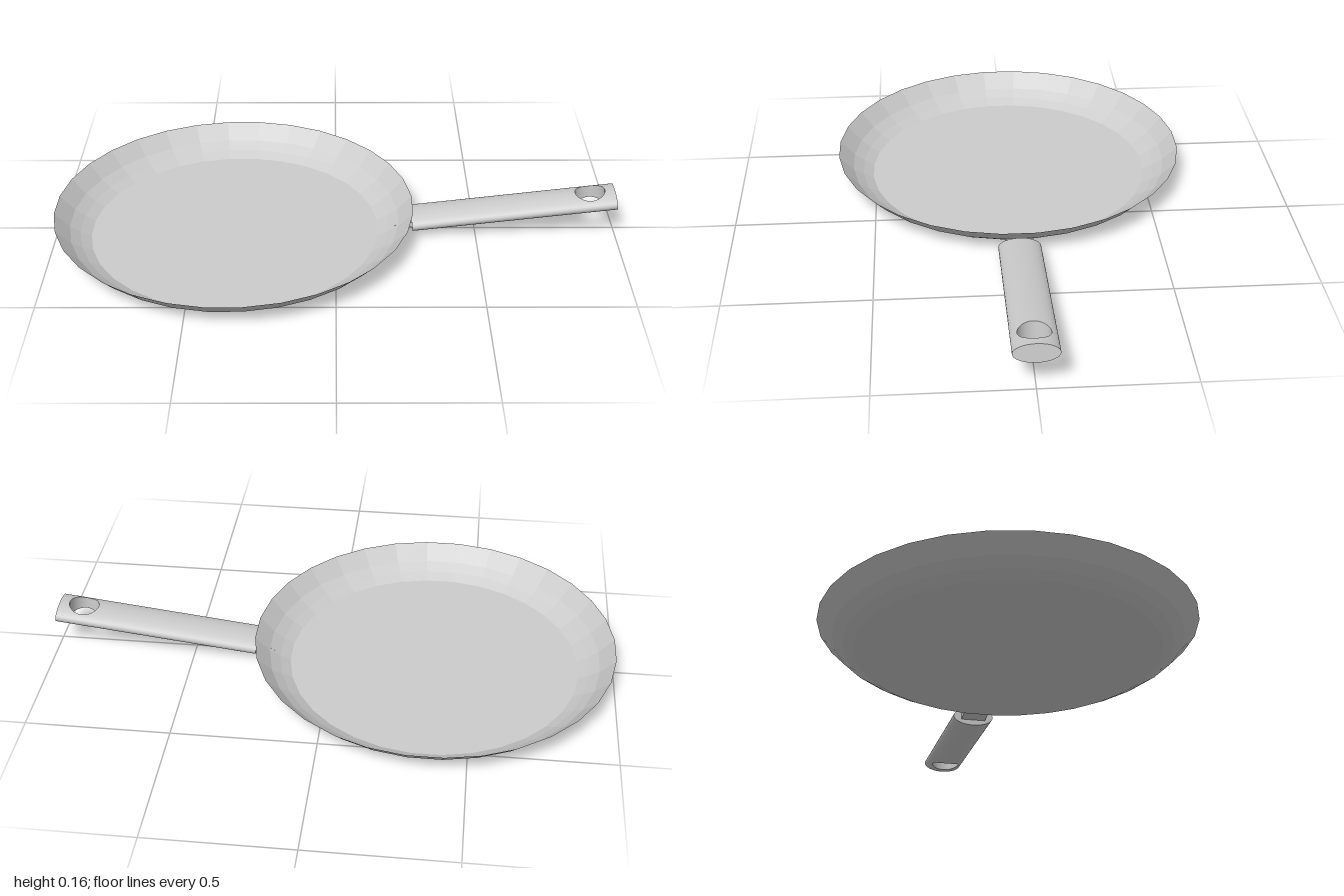
import * as THREE from 'three';
import { ParametricGeometry } from 'three/addons/geometries/ParametricGeometry.js';

const H = 0.0325, W = 0.074;              // handle half thickness and half width
const LENGTH = 0.729, HOLE_X = 0.642, HOLE_R = 0.053;

const grey = (options = {}) => new THREE.MeshStandardMaterial({ color: 0xcccccc, ...options });

function add(parent, name, geometry, material) {
  const mesh = new THREE.Mesh(geometry, material);
  mesh.name = name;
  parent.add(mesh);
  return mesh;
}

// Height of the oval handle surface above its axis
const ovalHeight = (z) => H * Math.sqrt(Math.max(0, 1 - (z / W) ** 2));

// Open oval tube running along x
function ovalTube(x0, x1) {
  return new THREE.CylinderGeometry(1, 1, x1 - x0, 32, 1, true)
    .rotateZ(-Math.PI / 2).scale(1, H, W).translate((x0 + x1) / 2, 0, 0);
}

// Oval surface around the hole, from the round hole edge out to a square; side is 1 above, -1 below
function holeSurround(side) {
  const geometry = new ParametricGeometry((u, v, target) => {
    const a = side * u * Math.PI * 2;
    const quarter = Math.round(a / (Math.PI / 2)) * (Math.PI / 2);
    const e = Math.sin((a - quarter) * 2);
    const c = Math.cos(quarter), s = Math.sin(quarter);
    const t = Math.sin(v * Math.PI / 2);
    const x = THREE.MathUtils.lerp(HOLE_R * Math.cos(a), W * (c - s * e), t);
    const z = THREE.MathUtils.lerp(HOLE_R * Math.sin(a), W * (s + c * e), t);
    target.set(HOLE_X + x, side * ovalHeight(z), z);
  }, 64, 10);
  // Exact oval normals, so the surround blends into the tubes
  const p = geometry.attributes.position, n = new THREE.Vector3();
  for (let i = 0; i < p.count; i++) {
    n.set(0, p.getY(i) / H ** 2, p.getZ(i) / W ** 2).normalize();
    geometry.attributes.normal.setXYZ(i, n.x, n.y, n.z);
  }
  return geometry;
}

export function createModel() {
  const model = new THREE.Group();
  model.name = 'fryingPan';

  // Thin faceted dish with a flat base and flared wall
  const profile = [[0, 0], [0.515, 0], [0.552, 0.019], [0.588, 0.043], [0.64, 0.097]]
    .map(([r, y]) => new THREE.Vector2(r, y));
  const dish = add(model, 'dish', new THREE.LatheGeometry(profile, 32, Math.PI / 32),
    grey({ flatShading: true, side: THREE.DoubleSide }));
  dish.position.x = -0.363;

  // Flat bracket, cut to follow the slope of the wall
  const bracketShape = new THREE.Shape([[0.202, 0.03], [0.3, 0.03], [0.3, 0.05], [0.232, 0.05]]
    .map(([x, y]) => new THREE.Vector2(x, y)));
  add(model, 'bracket',
    new THREE.ExtrudeGeometry(bracketShape, { depth: 0.09, bevelEnabled: false }).translate(0, 0, -0.045),
    grey({ flatShading: true }));

  // Oval handle, rising away from the dish, with a hanging hole near its tip
  const handle = new THREE.Group();
  handle.name = 'handle';
  handle.position.set(0.2725, 0.0425, 0);
  handle.rotation.z = 0.1217;
  model.add(handle);
  const smooth = grey();
  add(handle, 'handleGrip', ovalTube(0, HOLE_X - W), smooth);
  add(handle, 'handleTip', ovalTube(HOLE_X + W, LENGTH), smooth);
  add(handle, 'holeSurroundTop', holeSurround(1), smooth);
  add(handle, 'holeSurroundBottom', holeSurround(-1), smooth);
  add(handle, 'holeWall', new ParametricGeometry((u, v, target) => {
    const a = v * Math.PI * 2, z = HOLE_R * Math.sin(a);
    target.set(HOLE_X + HOLE_R * Math.cos(a), ovalHeight(z) * (1 - 2 * u), z);
  }, 1, 64), smooth);

  // Flat oval ends
  for (const [name, x, turn] of [['innerEndCap', 0, -1], ['outerEndCap', LENGTH, 1]]) {
    add(handle, name, new THREE.CircleGeometry(1, 32)
      .rotateY(turn * Math.PI / 2).scale(1, H, W).translate(x, 0, 0), smooth);
  }
  return model;
}
